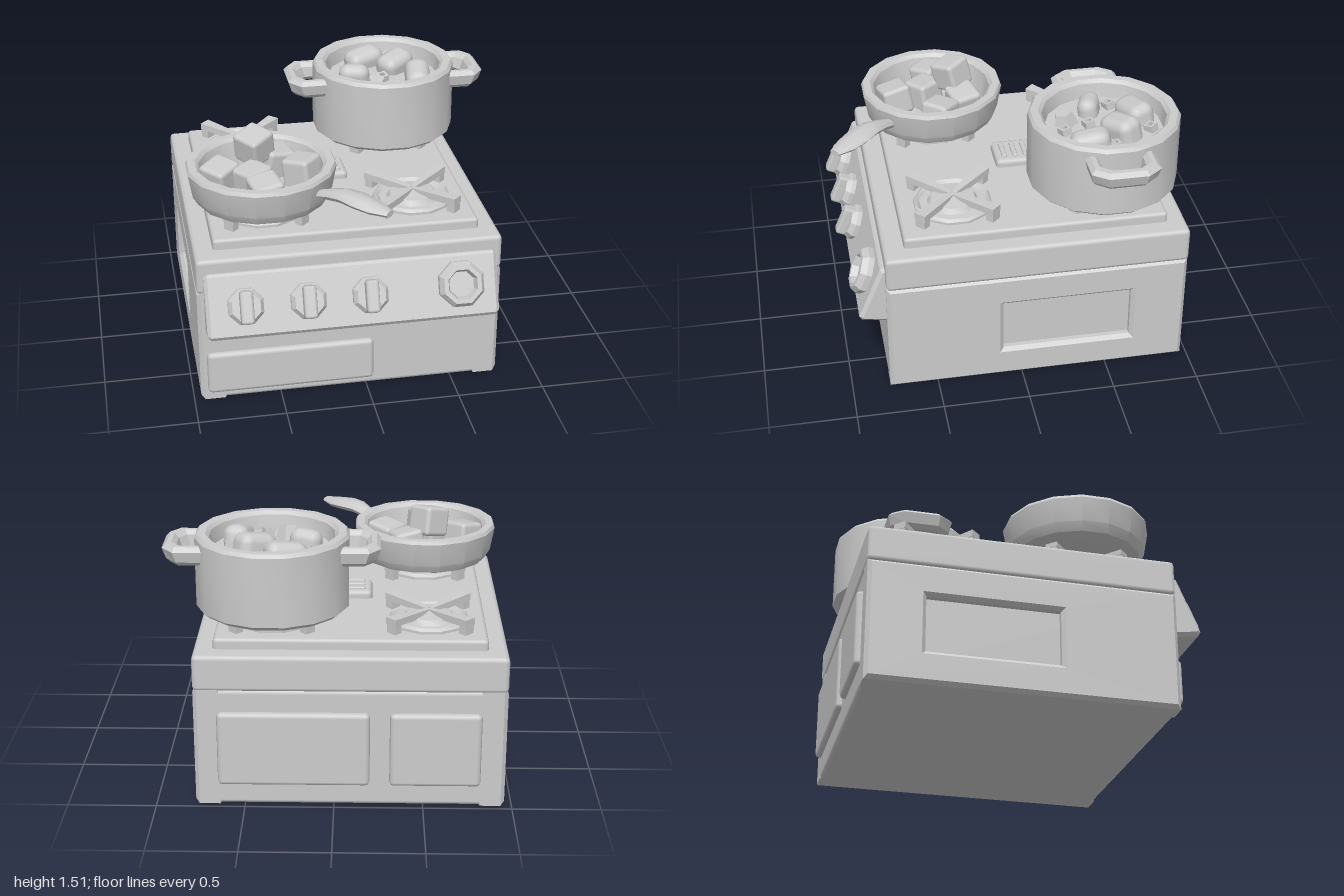
import * as THREE from 'three';
import { toCreasedNormals } from 'three/addons/utils/BufferGeometryUtils.js';
import { RoundedBoxGeometry } from 'three/addons/geometries/RoundedBoxGeometry.js';

const mat = new THREE.MeshStandardMaterial({ color: 0xcccccc });
const V2 = (p) => new THREE.Vector2(p[0], p[1]);

function add(parent, name, geo, pos = [0, 0, 0], rot = [0, 0, 0]) {
  const m = new THREE.Mesh(geo, mat);
  m.name = name;
  m.position.set(...pos);
  m.rotation.set(...rot);
  parent.add(m);
  return m;
}

function group(parent, name, x = 0, y = 0, z = 0) {
  const g = new THREE.Group();
  g.name = name;
  g.position.set(x, y, z);
  parent.add(g);
  return g;
}

// Chamfered box given by its min and max corners
function slab(parent, name, a, b, r) {
  const size = b.map((v, i) => v - a[i]);
  return add(parent, name, new RoundedBoxGeometry(...size, 1, r), b.map((v, i) => (v + a[i]) / 2));
}

// Turned part; crease angle decides smooth or faceted sides
function turned(points, sides, crease = 0.5) {
  const g = new THREE.LatheGeometry(points.map(V2), sides);
  g.rotateY(Math.PI / sides);
  return toCreasedNormals(g, crease);
}

function bevelled(shape, depth, b) {
  return new THREE.ExtrudeGeometry(shape, {
    depth: depth - 2 * b, bevelEnabled: true, bevelSegments: 1, bevelThickness: b, bevelSize: b, bevelOffset: -b,
  });
}

// Extrude a (z, y) outline along x, from x0 to x1
function extrudeX(shape, x0, x1, b) {
  return bevelled(shape, x1 - x0, b).rotateY(-Math.PI / 2).translate(x1 - b, 0, 0);
}

const rect = (x0, y0, x1, y1) => [[x0, y0], [x1, y0], [x1, y1], [x0, y1]].map(V2);

function buildBody(root) {
  const body = group(root, 'body');
  slab(body, 'cabinet', [-0.91, 0, -0.965], [0.73, 0.7, 0.78], 0.025);
  // Side walls with a sunken window each
  for (const [x0, x1] of [[0.62, 0.78], [-0.96, -0.8]]) {
    const wall = new THREE.Shape(rect(-0.965, 0, 0.78, 0.7));
    wall.holes.push(new THREE.Path(rect(-0.64, 0.19, 0.11, 0.51)));
    add(body, 'sideWall', extrudeX(wall, x0, x1, 0.022));
  }
  slab(body, 'topSlab', [-0.96, 0.69, -0.97], [0.78, 0.9, 0.78], 0.025);
  slab(body, 'hobPlate', [-0.85, 0.86, -0.86], [0.67, 0.96, 0.66], 0.02);
  slab(body, 'drawer', [-0.92, 0.05, 0.7], [0.04, 0.31, 0.81], 0.025);
  slab(body, 'backPanelLarge', [-0.2, 0.13, -1], [0.65, 0.57, -0.9], 0.025);
  slab(body, 'backPanelSmall', [-0.82, 0.13, -1], [-0.31, 0.57, -0.9], 0.025);
  // Vent with ridges
  slab(body, 'vent', [-0.21, 0.92, -0.22], [0.03, 1.005, 0.02], 0.025);
  for (const z of [-0.165, -0.1, -0.035]) slab(body, 'ventRidge', [-0.17, 0.98, z - 0.016], [-0.01, 1.018, z + 0.016], 0.01);
}

function buildControls(root) {
  const controls = group(root, 'controls');
  const profile = new THREE.Shape([[0.7, 0.455], [0.79, 0.455], [0.92, 0.475], [0.935, 0.5], [0.805, 0.81], [0.79, 0.82], [0.7, 0.82]].map(V2));
  add(controls, 'controlPanel', extrudeX(profile, -0.92, 0.74, 0.02));
  const tilt = -0.4;
  const knobGeo = turned([[0, 0], [0.107, 0], [0.107, 0.03], [0.085, 0.06], [0, 0.06]], 8, 0.1).rotateX(Math.PI / 2);
  for (const x of [-0.7, -0.35, 0]) {
    const knob = group(controls, 'knob', x, 0.65, 0.868);
    knob.rotation.x = tilt;
    add(knob, 'knobBase', knobGeo);
    add(knob, 'knobGrip', new RoundedBoxGeometry(0.075, 0.185, 0.09, 1, 0.018), [0, 0, 0.065]);
  }
  const dial = turned([[0, 0], [0.138, 0], [0.138, 0.035], [0.115, 0.07], [0.09, 0.07], [0.075, 0.03], [0, 0.03]], 8, 0.1);
  add(controls, 'dial', dial.rotateX(Math.PI / 2), [0.52, 0.665, 0.862], [tilt, 0, 0]);
}

function buildBurner(root, x, z) {
  const burner = group(root, 'burner', x, 0, z);
  add(burner, 'burnerRing', turned([[0, 0.94], [0.23, 0.94], [0.23, 0.975], [0.215, 0.99], [0.195, 0.972], [0.15, 0.975], [0.13, 1.005], [0.07, 1.01], [0, 1.03]], 12));
  // Prong bars narrow and dip towards the middle
  const bar = new THREE.BoxGeometry(1, 0.04, 0.3).translate(0, 1.03, 0.16);
  const p = bar.attributes.position;
  for (let i = 0; i < p.count; i++) {
    const outer = p.getZ(i) > 0.15;
    p.setX(i, p.getX(i) * (outer ? 0.075 : 0.03));
    if (!outer) p.setY(i, p.getY(i) - 0.02);
  }
  bar.computeVertexNormals();
  for (let k = 0; k < 4; k++) {
    const prong = group(burner, 'prong');
    prong.rotation.y = Math.PI / 4 + k * Math.PI / 2;
    add(prong, 'prongBar', bar);
    add(prong, 'prongLeg', new THREE.BoxGeometry(0.065, 0.1, 0.05), [0, 0.99, 0.283]);
  }
}

function buildPan(root) {
  const pan = group(root, 'pan', -0.53, 0, 0.33);
  add(pan, 'panBowl', turned([[0, 1.04], [0.32, 1.04], [0.375, 1.06], [0.405, 1.11], [0.43, 1.25], [0.42, 1.27], [0.375, 1.27], [0.355, 1.25], [0.325, 1.11], [0, 1.1]], 16));
  // Handle: a tube reshaped by station tables
  const widths = [0.03, 0.045, 0.065, 0.08, 0.07, 0.035];
  const heights = [0.03, 0.032, 0.036, 0.036, 0.03, 0.018];
  const levels = [1.165, 1.2, 1.222, 1.22, 1.21, 1.205];
  const n = widths.length - 1, len = 0.51;
  const g = new THREE.CylinderGeometry(1, 1, 1, 8, n).rotateX(Math.PI / 2);
  const p = g.attributes.position;
  for (let i = 0; i < p.count; i++) {
    const t = p.getZ(i) + 0.5, k = Math.round(t * n);
    p.setXYZ(i, p.getX(i) * widths[k], p.getY(i) * heights[k] + levels[k], t * len);
  }
  add(pan, 'panHandle', toCreasedNormals(g, 0.8), [0.27, 0, 0.27], [0, 0.74, 0]);
  // Cubed food: x, y, z and turn
  const cubes = [[-0.23, 1.18, -0.02, 0.1, 0.75, 0.1], [-0.02, 1.31, -0.13, 0.15, 0.7, 0.12], [-0.05, 1.17, 0.04, 0, 0.65, 0.1],
    [0.11, 1.18, -0.18, 0.1, 0.3, -0.2], [0.24, 1.18, -0.02, -0.2, 0.85, 0.15], [0, 1.18, 0.225, 0.15, 0.25, 0.1]];
  for (const [x, y, z, ...r] of cubes) add(pan, 'foodCube', new RoundedBoxGeometry(0.175, 0.175, 0.175, 2, 0.025), [x, y, z], r);
}

function buildPot(root) {
  const pot = group(root, 'pot', 0.35, 0, -0.54);
  add(pot, 'potBody', turned([[0, 1.045], [0.405, 1.045], [0.435, 1.07], [0.435, 1.465], [0.42, 1.485], [0.375, 1.485], [0.355, 1.465], [0.34, 1.38], [0, 1.38]], 16));
  // Loop handles on both sides
  const loop = new THREE.Shape([[0.37, -0.195], [0.54, -0.195], [0.605, -0.11], [0.605, 0.11], [0.54, 0.195], [0.37, 0.195],
    [0.37, 0.12], [0.49, 0.12], [0.53, 0.07], [0.53, -0.07], [0.49, -0.12], [0.37, -0.12]].map(V2));
  const loopGeo = bevelled(loop, 0.11, 0.024).rotateX(Math.PI / 2);
  // Narrow the underside
  const p = loopGeo.attributes.position;
  for (let i = 0; i < p.count; i++) if (p.getY(i) < -0.05) p.setXYZ(i, p.getX(i) - 0.02, p.getY(i), p.getZ(i) * 0.93);
  loopGeo.computeVertexNormals();
  for (const turn of [0, Math.PI]) add(pot, 'potHandle', loopGeo, [0, 1.416, 0], [0, turn, 0]);
  // Stew chunks: x, z, length, width, height, turn
  const chunks = [[-0.08, -0.2, 0.24, 0.16, 0.17, 0.35], [0.095, -0.08, 0.23, 0.16, 0.19, 0.6], [-0.185, 0.045, 0.19, 0.12, 0.16, -0.35], [0.195, 0.12, 0.23, 0.15, 0.16, 1.4]];
  for (const [x, z, l, w, h, turn] of chunks) add(pot, 'stewChunk', new RoundedBoxGeometry(l, h, w, 2, 0.06), [x, 1.4, z], [0.15, turn, 0.1]);
  add(pot, 'stewWedge', new THREE.CylinderGeometry(0.05, 0.08, 0.1, 5).toNonIndexed(), [-0.08, 1.4, 0.21], [0.2, 0.4, 0]).geometry.computeVertexNormals();
  // Small hollow dice
  const dice = turned([[0.022, 0], [0.042, 0], [0.042, 0.045], [0.022, 0.045], [0.022, 0]], 4, 0.1);
  for (const [x, z, turn] of [[0.085, -0.26, 0.7], [-0.205, -0.08, 0.4], [0.24, -0.015, 0.2], [-0.015, 0.08, 0.3], [0.04, 0.23, 0.4]]) {
    add(pot, 'vegetableDice', dice, [x, 1.375, z], [0.15, turn, 0.1]);
  }
}

export function createModel() {
  const root = new THREE.Group();
  root.name = 'stove';
  buildBody(root);
  buildControls(root);
  for (const x of [-0.53, 0.35]) for (const z of [-0.545, 0.335]) buildBurner(root, x, z);
  buildPan(root);
  buildPot(root);
  return root;
}
